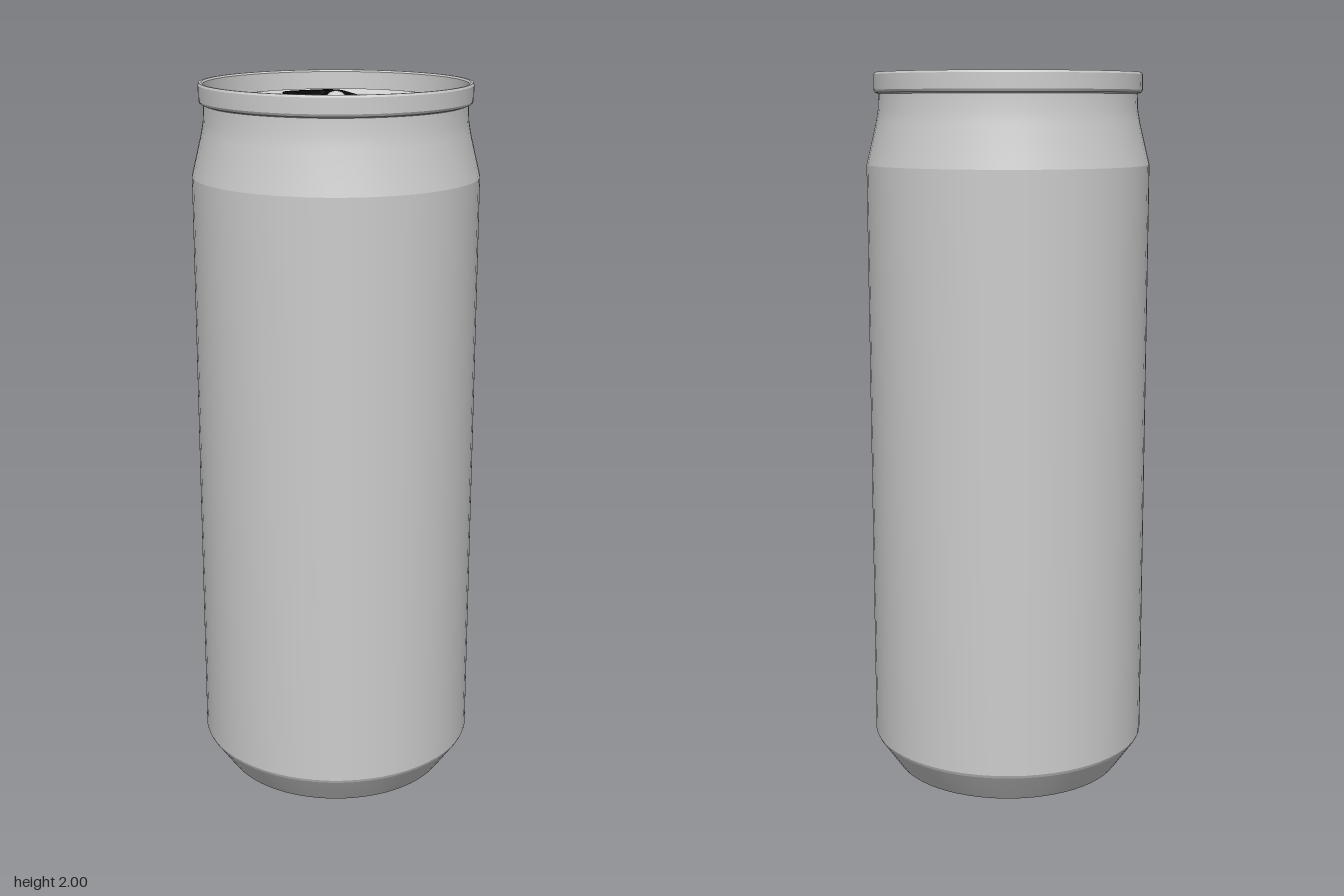
import * as THREE from 'three';
import { toCreasedNormals } from 'three/addons/utils/BufferGeometryUtils.js';

const silver = new THREE.MeshStandardMaterial({ color: 0xcccccc });
silver.name = 'silver';
const black = new THREE.MeshStandardMaterial({ color: 0x0a0a0a });
black.name = 'black';

// Revolves [radius, y] points; outer profiles run upward
function turned(name, profile) {
  const points = profile.map(([r, y]) => new THREE.Vector2(r, y));
  const geometry = toCreasedNormals(new THREE.LatheGeometry(points, 64), 0.16);
  const mesh = new THREE.Mesh(geometry, silver);
  mesh.name = name;
  return mesh;
}

// Traces a polygon with rounded corners; each corner is [x, y, radius]
function rounded(path, corners) {
  const n = corners.length;
  corners.forEach(([x, y, r], i) => {
    const p = new THREE.Vector2(x, y);
    const toward = ([a, b]) => new THREE.Vector2(a, b).sub(p).setLength(r).add(p);
    const start = toward(corners[(i + n - 1) % n]);
    const end = toward(corners[(i + 1) % n]);
    if (i === 0) path.moveTo(start.x, start.y);
    else path.lineTo(start.x, start.y);
    path.quadraticCurveTo(x, y, end.x, end.y);
  });
  path.closePath();
  return path;
}

export function createModel() {
  const can = new THREE.Group();
  can.name = 'can';

  // Hollow underside, standing ring and bottom chamfer
  can.add(turned('base', [
    [0, 0.115], [0.21, 0.115], [0.295, 0.05], [0.312, 0.008],
    [0.318, 0], [0.328, 0], [0.337, 0.012], [0.39, 0.088], [0.394, 0.097],
  ]));

  // Straight wall and tapered neck
  can.add(turned('body', [
    [0.394, 0.097], [0.394, 1.75], [0.366, 1.865], [0.36, 1.9], [0.358, 1.942],
  ]));

  // Rolled rim
  can.add(turned('rim', [
    [0.358, 1.942], [0.368, 1.946], [0.372, 1.953], [0.372, 1.994],
    [0.369, 2], [0.363, 2], [0.359, 1.995],
  ]));

  // Lid: inner wall, groove, raised ring and sunken panel
  can.add(turned('lid', [
    [0.359, 1.995], [0.357, 1.945], [0.346, 1.92], [0.337, 1.92],
    [0.328, 1.938], [0.31, 1.942], [0.297, 1.953], [0.292, 1.953],
    [0.272, 1.943], [0, 1.943],
  ]));

  // Pull tab with a finger hole
  const outline = rounded(new THREE.Shape(), [
    [-0.06, -0.097, 0.045], [0.06, -0.097, 0.045],
    [0.096, 0.195, 0.065], [-0.096, 0.195, 0.065],
  ]);
  outline.holes.push(rounded(new THREE.Path(), [
    [-0.03, 0.077, 0.016], [-0.054, 0.18, 0.022],
    [0.054, 0.18, 0.022], [0.03, 0.077, 0.016],
  ]));
  const tabGeometry = new THREE.ExtrudeGeometry(outline, {
    depth: 0.011, bevelEnabled: false, curveSegments: 10,
  });
  tabGeometry.rotateX(-Math.PI / 2);
  const tab = new THREE.Mesh(tabGeometry, black);
  tab.name = 'pullTab';
  tab.position.y = 1.949;
  can.add(tab);

  // Rivet: a post under the tab and a domed head
  const rivet = new THREE.Group();
  rivet.name = 'rivet';
  const head = new THREE.Mesh(
    new THREE.SphereGeometry(0.025, 24, 8, 0, Math.PI * 2, 0, Math.PI / 2), silver);
  head.name = 'rivetHead';
  head.scale.y = 0.6;
  head.position.y = 1.96;
  const post = new THREE.Mesh(new THREE.CylinderGeometry(0.024, 0.024, 0.018, 24), silver);
  post.name = 'rivetPost';
  post.position.y = 1.951;
  rivet.add(head, post);
  can.add(rivet);

  return can;
}
